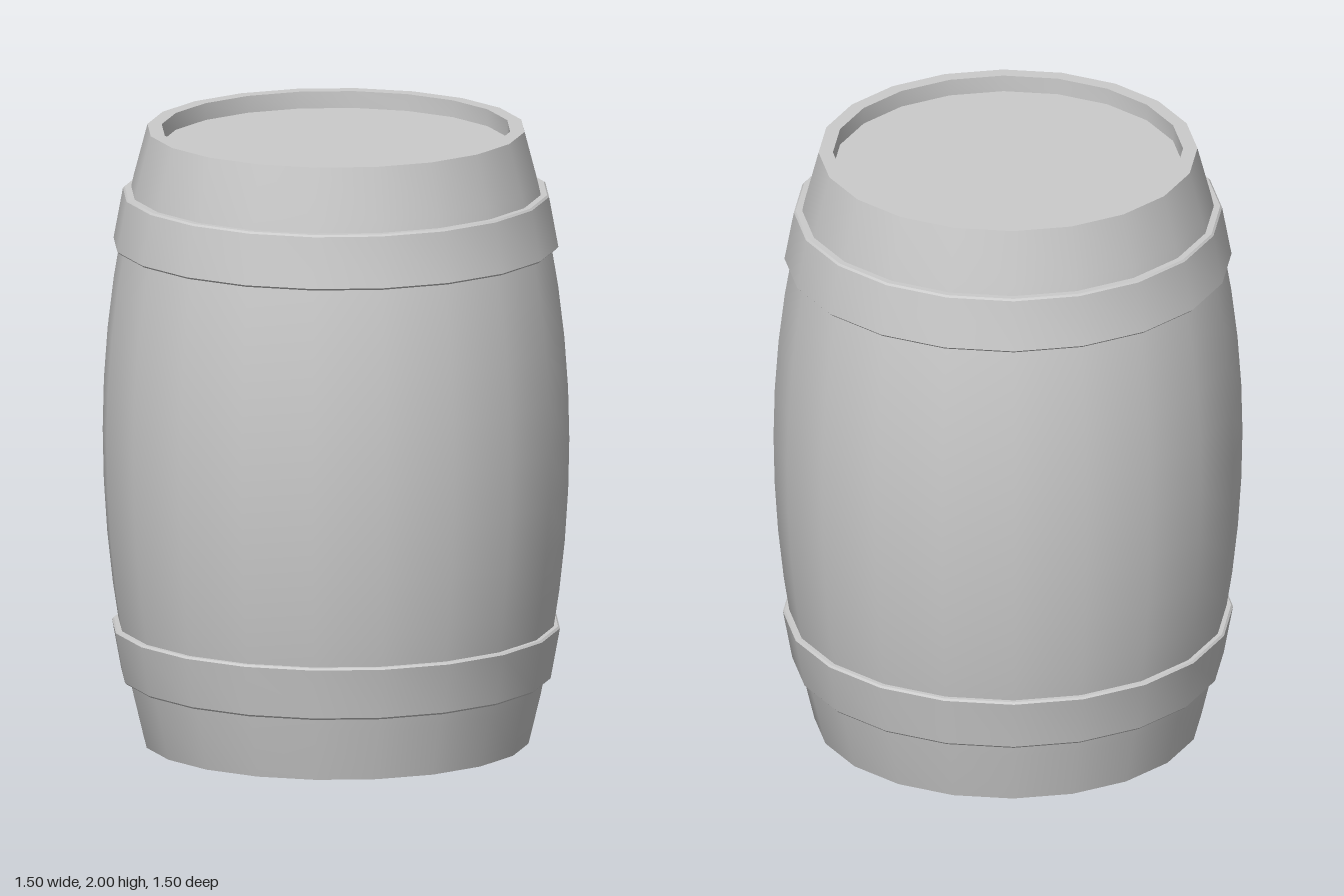
import * as THREE from 'three';
import { toCreasedNormals } from 'three/addons/utils/BufferGeometryUtils.js';

const SIDES = 20;
const RECESS = 0.055;   // depth of the heads below the rims
const HEAD = 0.56;      // radius of the heads

// Bulging stave radius at height y
const bulge = (y) => 0.75 - (y < 1 ? 0.131 : 0.144) * (y - 1) ** 2;

// Revolve an outward-facing profile (bottom to top), keeping hard rims sharp
function revolve(name, profile, material) {
  const points = profile.map(([r, y]) => new THREE.Vector2(r, y));
  const geometry = toCreasedNormals(new THREE.LatheGeometry(points, SIDES), 0.5);
  const mesh = new THREE.Mesh(geometry, material);
  mesh.name = name;
  return mesh;
}

export function createModel() {
  const group = new THREE.Group();
  group.name = 'barrel';
  const material = new THREE.MeshStandardMaterial({ color: 0xcccccc });

  // Staves with their end rims
  const staves = [[HEAD, RECESS], [HEAD, 0]];
  const steps = 12;
  for (let i = 0; i <= steps; i++) {
    const y = (2 * i) / steps;
    staves.push([bulge(y), y]);
  }
  staves.push([HEAD, 2], [HEAD, 2 - RECESS]);
  group.add(revolve('staves', staves, material));

  // Recessed heads closing both ends
  group.add(revolve('bottomHead', [[0, RECESS], [HEAD, RECESS]], material));
  group.add(revolve('topHead', [[HEAD, 2 - RECESS], [0, 2 - RECESS]], material));

  // Hoops: closed bands that follow the bulge, with slightly eased edges
  const hoop = (name, y0, r0, y1, r1) => {
    const ease = 0.006;
    group.add(revolve(name, [
      [bulge(y0) - 0.02, y0],
      [r0 - ease, y0],
      [r0, y0 + ease],
      [r1, y1 - ease],
      [r1 - ease, y1],
      [bulge(y1) - 0.02, y1],
    ], material));
  };
  hoop('lowerHoop', 0.21, 0.69, 0.385, 0.72);
  hoop('upperHoop', 1.62, 0.715, 1.795, 0.685);

  return group;
}
